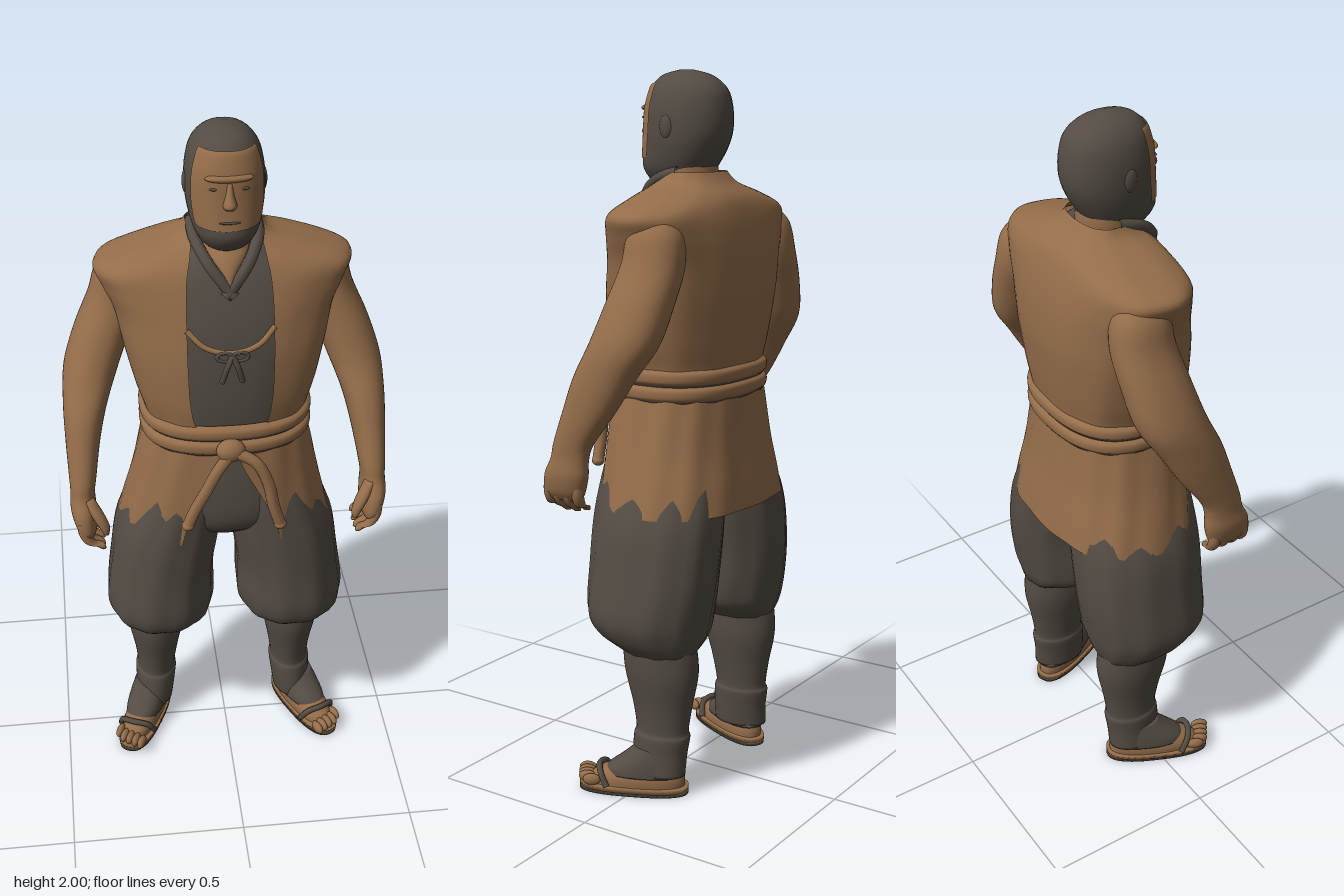
import * as THREE from 'three';

const tan = new THREE.MeshStandardMaterial({ color: 0x946d4a, side: THREE.DoubleSide });
tan.name = 'tan';
const dark = new THREE.MeshStandardMaterial({ color: 0x544c44, side: THREE.DoubleSide });
dark.name = 'dark grey';

// Smooth loft through horizontal rings. Row: [y, centreX, halfWidth, zBack, zFront, openingHalfWidth]
function loft(rows, { n = 2, segs = 40, steps = 5, side = 1, arc = 0, grow = 0, folds = 0, waves = 9, cap = true } = {}) {
  const open = arc > 0 || rows[0].length > 5;
  const curves = rows[0].map((_, k) => new THREE.SplineCurve(rows.map((r, i) => new THREE.Vector2(i, r[k]))));
  const pos = [], idx = [], rings = (rows.length - 1) * steps, cols = open ? segs + 1 : segs;
  const pw = (v) => Math.sign(v) * Math.abs(v) ** (2 / n);
  for (let j = 0; j <= rings; j++) {
    const [y, cx, rx, zb, zf, gap = 0] = curves.map((c) => c.getPoint(j / rings).y);
    const cut = Math.asin(Math.min(1, Math.max(0, gap / rx) ** (n / 2)));
    const a0 = arc ? -arc : cut, a1 = arc ? arc : Math.PI * 2 - cut;
    for (let i = 0; i < cols; i++) {
      const a = a0 + ((a1 - a0) * i) / segs;
      const f = 1 + folds * Math.cos(waves * a + j * 0.12);
      pos.push(side * cx + (rx + grow) * f * pw(Math.sin(a)), y, (zb + zf) / 2 + ((zf - zb) / 2 + grow) * f * pw(Math.cos(a)));
    }
  }
  for (let j = 0; j < rings; j++) for (let i = 0; i < segs; i++) {
    const a = j * cols + i, b = j * cols + ((i + 1) % cols);
    idx.push(a, a + cols, b, b, a + cols, b + cols);
  }
  if (!open && cap) [0, rings].forEach((j, e) => {
    const r = rows[e ? rows.length - 1 : 0], c = pos.length / 3;
    pos.push(side * r[1], r[0], (r[3] + r[4]) / 2);
    for (let i = 0; i < segs; i++) {
      const a = j * cols + i, b = j * cols + ((i + 1) % cols);
      idx.push(c, e ? b : a, e ? a : b);
    }
  });
  const g = new THREE.BufferGeometry();
  g.setAttribute('position', new THREE.Float32BufferAttribute(pos, 3));
  g.setIndex(idx);
  g.computeVertexNormals();
  return g;
}

function add(parent, name, geo, mat, p = [0, 0, 0], scale = [1, 1, 1]) {
  const m = new THREE.Mesh(geo, mat);
  m.name = name;
  m.position.set(...p);
  m.scale.set(...scale);
  parent.add(m);
  return m;
}
const rope = (pts, r, segs = 24) =>
  new THREE.TubeGeometry(new THREE.CatmullRomCurve3(pts.map((p) => new THREE.Vector3(...p))), segs, r, 8);
const ball = new THREE.SphereGeometry(1, 20, 14);

export function createModel() {
  const model = new THREE.Group();
  model.name = 'robedMan';

  // Head: dark hair and beard, with a tan face laid over the front
  const head = new THREE.Group();
  head.name = 'head';
  model.add(head);
  add(head, 'hairAndBeard', loft([
    [2.0, 0, 0.015, -0.02, 0.02], [1.985, 0, 0.055, -0.075, 0.07], [1.95, 0, 0.086, -0.117, 0.1],
    [1.9, 0, 0.1, -0.132, 0.113], [1.84, 0, 0.103, -0.132, 0.12], [1.79, 0, 0.098, -0.115, 0.121],
    [1.74, 0, 0.085, -0.085, 0.126], [1.7, 0, 0.06, -0.06, 0.1], [1.69, 0, 0.03, -0.03, 0.07],
  ], { n: 2.2 }), dark);
  add(head, 'face', loft([
    [1.965, 0, 0.076, -0.1, 0.091], [1.95, 0, 0.086, -0.117, 0.1], [1.9, 0, 0.1, -0.132, 0.113],
    [1.84, 0, 0.103, -0.132, 0.117], [1.79, 0, 0.098, -0.115, 0.121], [1.765, 0, 0.091, -0.1, 0.124],
  ], { n: 2.2, arc: 1.02, grow: 0.004 }), tan);
  add(head, 'nose', loft([
    [1.89, 0, 0.008, 0.1, 0.12], [1.86, 0, 0.011, 0.1, 0.134], [1.835, 0, 0.018, 0.1, 0.146], [1.822, 0, 0.014, 0.1, 0.13],
  ], { segs: 16 }), tan);
  add(head, 'brow', ball, tan, [0, 1.9, 0.103], [0.062, 0.012, 0.02]);
  add(head, 'mouth', ball, dark, [0, 1.787, 0.122], [0.028, 0.004, 0.006]);
  for (const s of [-1, 1]) {
    add(head, 'eye', ball, dark, [s * 0.037, 1.874, 0.111], [0.014, 0.004, 0.005]);
    add(head, 'ear', ball, dark, [s * 0.099, 1.85, 0.0], [0.01, 0.032, 0.02]);
  }

  // Neck, with bare skin narrowing to a V at the collar
  add(model, 'neck', loft([
    [1.77, 0, 0.075, -0.085, 0.05], [1.71, 0, 0.078, -0.09, 0.07], [1.67, 0, 0.066, -0.08, 0.105],
    [1.63, 0, 0.035, -0.06, 0.125], [1.59, 0, 0.008, -0.03, 0.13],
  ]), tan);

  // Dark undershirt and crossed collar
  add(model, 'undershirt', loft([
    [1.71, 0, 0.1, -0.09, 0.04], [1.67, 0, 0.15, -0.13, 0.08], [1.6, 0, 0.24, -0.16, 0.115],
    [1.5, 0, 0.26, -0.18, 0.145], [1.4, 0, 0.255, -0.185, 0.16], [1.25, 0, 0.23, -0.17, 0.165],
    [1.1, 0, 0.21, -0.16, 0.15],
  ], { n: 2.4 }), dark);
  for (const s of [-1, 1]) {
    add(model, 'collar', rope([[s * 0.085, 1.73, -0.03], [s * 0.082, 1.71, 0.04], [s * 0.05, 1.66, 0.1], [-s * 0.01, 1.58, 0.125]], 0.016), dark);
  }

  // Sleeveless open jacket
  add(model, 'jacketBody', loft([
    [1.73, 0, 0.1, -0.1, 0.03, 0.088], [1.7, 0, 0.13, -0.125, 0.06, 0.092], [1.665, 0, 0.24, -0.165, 0.09, 0.1],
    [1.625, 0, 0.338, -0.185, 0.11, 0.108], [1.57, 0, 0.325, -0.2, 0.13, 0.112], [1.5, 0, 0.295, -0.21, 0.15, 0.113],
    [1.4, 0, 0.275, -0.212, 0.17, 0.113], [1.28, 0, 0.248, -0.2, 0.178, 0.108], [1.2, 0, 0.225, -0.188, 0.172, 0.09],
    [1.14, 0, 0.222, -0.186, 0.168, 0.04],
  ], { n: 2.5, segs: 56, folds: 0.006, waves: 10 }), tan);
  add(model, 'jacketSkirt', loft([
    [1.16, 0, 0.222, -0.188, 0.17, 0.01], [1.08, 0, 0.24, -0.195, 0.176, 0.03], [0.98, 0, 0.262, -0.205, 0.18, 0.08],
    [0.89, 0, 0.285, -0.22, 0.182, 0.12], [0.815, 0, 0.303, -0.23, 0.182, 0.14],
  ], { n: 2.5, segs: 64, folds: 0.012, waves: 13 }), tan);

  // Wrapped belt: two rounded turns over dark folds
  const belt = new THREE.Group();
  belt.name = 'belt';
  model.add(belt);
  for (const y of [1.19, 1.145]) {
    add(belt, 'beltTurn', loft([
      [y + 0.024, 0, 0.222, -0.186, 0.17], [y + 0.012, 0, 0.237, -0.2, 0.185],
      [y - 0.01, 0, 0.237, -0.2, 0.185], [y - 0.02, 0, 0.228, -0.19, 0.176],
    ], { n: 2.5, segs: 56, cap: false }), tan);
    add(belt, 'beltFold', loft([
      [y - 0.018, 0, 0.231, -0.194, 0.178], [y - 0.03, 0, 0.224, -0.187, 0.17],
    ], { n: 2.5, segs: 56, steps: 1, cap: false }), dark);
  }
  add(belt, 'beltKnot', ball, tan, [-0.005, 1.15, 0.195], [0.04, 0.034, 0.028]);
  const tails = [
    [[0, 1.15, 0.2], [-0.04, 1.1, 0.21], [-0.075, 1.03, 0.212], [-0.105, 0.97, 0.21], [-0.125, 0.92, 0.212]],
    [[0, 1.15, 0.2], [0.06, 1.12, 0.215], [0.095, 1.05, 0.22], [0.112, 0.97, 0.22], [0.13, 0.91, 0.218]],
  ];
  tails.forEach((t) => {
    add(belt, 'beltTail', rope(t, 0.017), tan);
    add(belt, 'beltTailEnd', ball, tan, t[4], [0.018, 0.015, 0.018]);
  });

  // Chest cord with a small bow and dark tassels
  add(model, 'chestCord', rope([[-0.115, 1.5, 0.148], [-0.07, 1.46, 0.17], [0, 1.445, 0.18], [0.07, 1.46, 0.17], [0.115, 1.5, 0.148]], 0.008), tan);
  for (const s of [-1, 1]) {
    add(model, 'cordBow', new THREE.TorusGeometry(0.016, 0.005, 8, 16), dark, [s * 0.02, 1.437, 0.185], [1.3, 0.8, 1]);
    add(model, 'tassel', rope([[0, 1.44, 0.185], [s * 0.015, 1.405, 0.19], [s * 0.027, 1.36, 0.183]], 0.008, 8), dark);
  }

  // Baggy trousers
  add(model, 'trouserSeat', loft([
    [1.12, 0, 0.2, -0.165, 0.14], [0.98, 0, 0.235, -0.18, 0.155], [0.86, 0, 0.22, -0.19, 0.15],
    [0.79, 0, 0.12, -0.13, 0.09], [0.75, 0, 0.04, -0.06, 0.03],
  ], { n: 2.3 }), dark);

  for (const s of [-1, 1]) {
    add(model, 'trouserLeg', loft([
      [1.08, 0.11, 0.1, -0.15, 0.13], [0.95, 0.125, 0.122, -0.18, 0.16], [0.8, 0.162, 0.15, -0.205, 0.168],
      [0.65, 0.186, 0.152, -0.205, 0.17], [0.53, 0.194, 0.158, -0.19, 0.172], [0.47, 0.195, 0.14, -0.18, 0.145],
      [0.425, 0.208, 0.092, -0.16, 0.07], [0.41, 0.212, 0.07, -0.14, 0.04],
    ], { side: s, n: 2.2, folds: 0.016, waves: 11 }), dark);
    add(model, 'shinWrap', loft([
      [0.45, 0.212, 0.085, -0.16, 0.06], [0.36, 0.21, 0.083, -0.168, 0.056], [0.26, 0.21, 0.066, -0.15, 0.032],
      [0.19, 0.212, 0.058, -0.14, 0.02], [0.17, 0.213, 0.063, -0.145, 0.026], [0.12, 0.216, 0.06, -0.138, 0.03],
      [0.06, 0.222, 0.058, -0.135, 0.03],
    ], { side: s }), dark);

    // Arm and curled hand
    add(model, 'arm', loft([
      [1.625, 0.27, 0.03, -0.12, -0.04], [1.58, 0.275, 0.062, -0.16, -0.01], [1.5, 0.287, 0.074, -0.172, 0.0],
      [1.4, 0.328, 0.077, -0.165, 0.022], [1.3, 0.364, 0.074, -0.145, 0.05], [1.21, 0.386, 0.06, -0.09, 0.09],
      [1.12, 0.398, 0.048, -0.035, 0.12], [1.03, 0.405, 0.038, 0.03, 0.15], [0.985, 0.408, 0.034, 0.045, 0.16],
      [0.94, 0.408, 0.036, 0.047, 0.182], [0.895, 0.403, 0.031, 0.06, 0.188], [0.87, 0.398, 0.02, 0.075, 0.18],
    ], { side: s, n: 2.2 }), tan);
    [0.075, 0.107, 0.139, 0.169].forEach((z, i) => {
      const low = 0.825 + 0.008 * Math.abs(i - 1.5);
      add(model, 'finger', loft([
        [0.92, 0.412, 0.016, z - 0.016, z + 0.016], [0.885, 0.41, 0.017, z - 0.016, z + 0.018],
        [0.855, 0.395, 0.016, z - 0.012, z + 0.019], [low + 0.012, 0.372, 0.015, z - 0.008, z + 0.021], [low, 0.36, 0.008, z, z + 0.018],
      ], { side: s, segs: 12, steps: 3 }), tan);
    });
    add(model, 'thumb', loft([
      [0.985, 0.395, 0.015, 0.125, 0.16], [0.945, 0.372, 0.018, 0.145, 0.185], [0.91, 0.355, 0.015, 0.158, 0.192], [0.885, 0.35, 0.008, 0.168, 0.188],
    ], { side: s, segs: 12, steps: 3 }), tan);

    // Sandalled foot, turned outward
    const foot = new THREE.Group();
    foot.name = 'foot';
    foot.position.set(s * 0.255, 0, 0.008);
    foot.rotation.y = s * 0.42;
    model.add(foot);
    const slab = (y0, y1, w) => loft([[y1, 0, w, -0.155, 0.158], [y0, 0, w, -0.155, 0.158]], { n: 2.6, steps: 1 });
    add(foot, 'soleBottom', slab(0, 0.01, 0.056), dark);
    add(foot, 'sole', slab(0.01, 0.024, 0.058), tan);
    add(foot, 'footSkin', loft([
      [0.085, 0, 0.03, -0.11, 0.03], [0.07, 0, 0.045, -0.135, 0.085], [0.045, 0, 0.053, -0.145, 0.125], [0.02, 0, 0.052, -0.145, 0.135],
    ], { n: 2.3 }), tan);
    add(foot, 'instepWrap', loft([
      [0.135, 0, 0.045, -0.13, 0.0], [0.105, 0, 0.052, -0.138, 0.035], [0.075, 0, 0.056, -0.142, 0.075], [0.055, 0, 0.057, -0.146, 0.085],
    ], { n: 2.3 }), dark);
    [-0.04, -0.02, 0, 0.02, 0.04].forEach((x, i) => {
      add(foot, 'toe', ball, tan, [-s * x, 0.038, 0.128 - i * -0.004 - (i === 0 ? 0.012 : 0)], [0.012, 0.017, 0.026]);
    });
    add(foot, 'toeStrap', rope([[-0.056, 0.025, 0.07], [-0.04, 0.062, 0.09], [0, 0.072, 0.1], [0.04, 0.062, 0.09], [0.056, 0.025, 0.07]], 0.009), dark);
  }
  return model;
}
